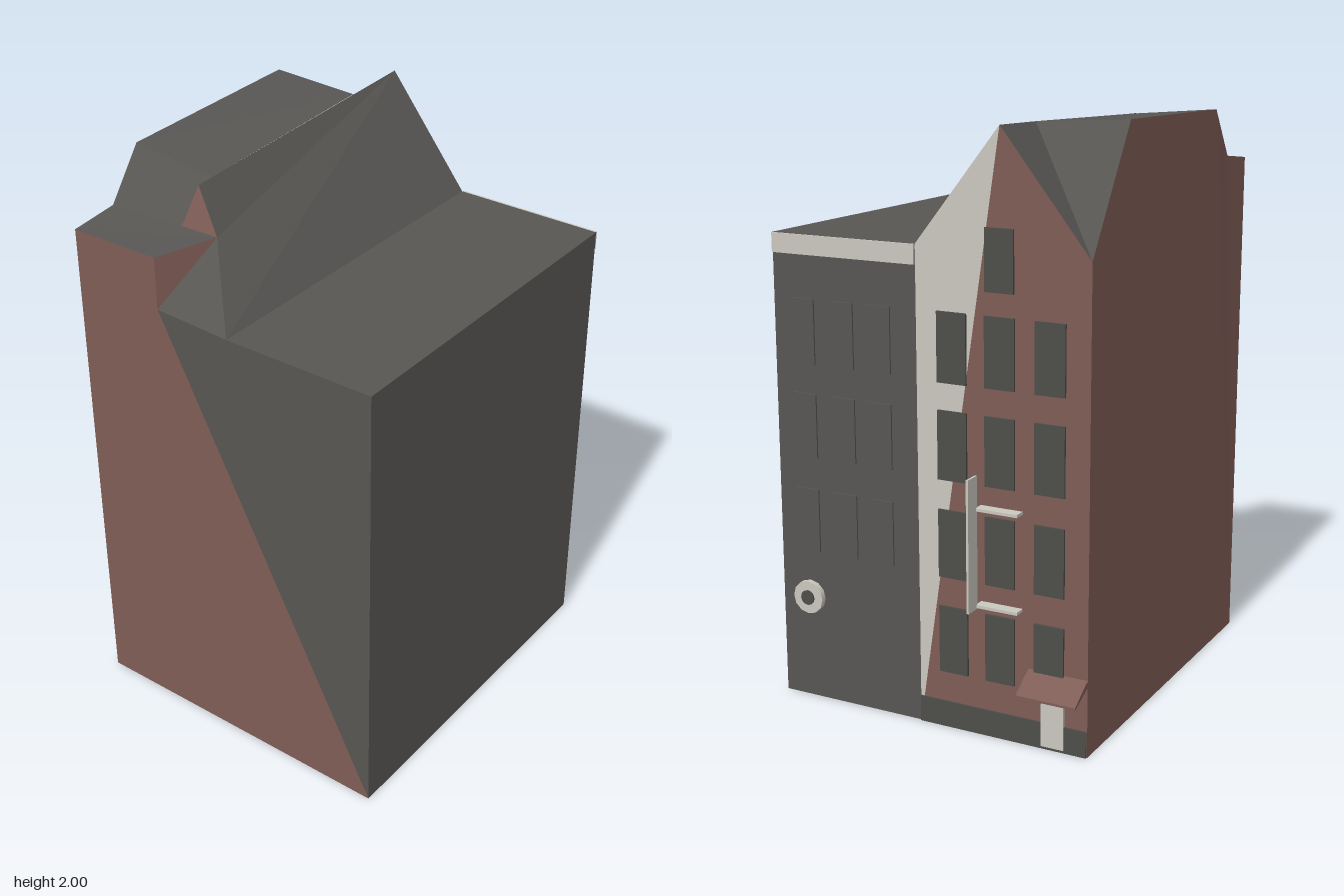
import * as THREE from 'three';

const mat = (name, color) => Object.assign(new THREE.MeshStandardMaterial({ color }), { name });

export function createModel() {
  const model = new THREE.Group();
  model.name = 'townhouses';
  const grey = mat('slate grey', 0x585653);
  const brick = mat('red brick', 0x805d57);
  const cream = mat('cream stone', 0xcac8be);
  const dark = mat('window grey', 0x4d4d4a);
  const blue = mat('banner blue', 0x2f5490);
  const V = (x, y, z) => new THREE.Vector3(x, y, z);

  // Flat-sided part made of polygons that face away from the building's middle
  const middle = V(0, 0.9, 0);
  function faces(name, material, ...polygons) {
    const pos = [];
    for (const p of polygons) {
      for (let i = 1; i < p.length - 1; i++) {
        const [a, b, c] = [p[0], p[i], p[i + 1]];
        const n = b.clone().sub(a).cross(c.clone().sub(a));
        const out = a.clone().add(b).add(c).divideScalar(3).sub(middle);
        for (const v of n.dot(out) > 0 ? [a, b, c] : [a, c, b]) pos.push(v.x, v.y, v.z);
      }
    }
    const g = new THREE.BufferGeometry();
    g.setAttribute('position', new THREE.Float32BufferAttribute(pos, 3));
    g.computeVertexNormals();
    const m = new THREE.Mesh(g, material);
    m.name = name;
    model.add(m);
  }

  // Corners of the footprint
  const fl = V(-0.64, 0, 0.63), fr = V(0.51, 0, 0.745);
  const br = V(0.64, 0, -0.535), bl = V(-0.51, 0, -0.655);
  const bm = V(0.1, 0, -0.591);
  // Eaves
  const flTop = V(-0.64, 1.79, 0.63), frTop = V(0.51, 1.6, 0.745);
  const brTop = V(0.64, 1.61, -0.535), bmTop = V(0.1, 1.61, -0.591), blTop = V(-0.51, 1.6, -0.655);
  const stepTop = V(-0.31, 1.79, 0.66), stepLow = V(-0.31, 1.61, 0.66);
  const valley = V(-0.03, 1.6, 0.692);
  // Ridge and upper roof
  const peak = V(-0.2, 1.99, -0.623), ridgeEnd = V(-0.29, 1.95, 0.44);
  const hip = V(-0.2, 1.81, 0.48), notch = V(-0.34, 1.81, 0.472), nick = V(-0.29, 1.86, 0.44);
  const upFL = V(-0.61, 1.98, 0.33), upFR = V(-0.285, 1.952, 0.375);
  const upBL = V(-0.54, 2, -0.4), upBR = V(-0.221, 1.982, -0.375);
  const lowL = V(-0.62, 1.81, 0.46);

  faces('brickWalls', brick,
    [fl, fr, stepLow, stepTop, flTop],
    [fl, flTop, lowL, upFL, upBL, blTop, bl],
    [bl, bm, peak, blTop]);
  faces('base', brick, [fl, fr, br, bl]);
  faces('greyWalls', grey, [fr, frTop, valley, stepLow], [fr, br, brTop, frTop], [br, bm, bmTop, brTop]);
  faces('stoneGable', cream, [bm, bmTop, peak]);
  faces('flatRoof', grey, [valley, frTop, brTop, bmTop]);
  faces('pitchedRoof', grey,
    [peak, bmTop, valley, hip, ridgeEnd],
    [upFL, upFR, upBR, upBL],
    [blTop, upBL, upBR], [blTop, upBR, peak],
    [upFL, lowL, notch, nick, upFR],
    [flTop, stepTop, hip, notch, lowL],
    [stepLow, valley, hip]);
  faces('roofGables', brick, [stepTop, stepLow, hip], [ridgeEnd, hip, notch, nick], [upFR, ridgeEnd, nick]);

  // Places a piece against the street facade, its local +z pointing outwards
  const along = br.clone().sub(bl).normalize();
  const normal = V(along.z, 0, -along.x);
  function onFacade(name, geometry, material, x, y, out) {
    const m = new THREE.Mesh(geometry, material);
    m.name = name;
    m.position.copy(bl).addScaledVector(along, (x - bl.x) / along.x).addScaledVector(normal, out);
    m.position.y = y;
    m.rotation.y = Math.atan2(normal.x, normal.z);
    model.add(m);
    return m;
  }
  const box = (w, h, d) => new THREE.BoxGeometry(w, h, d);

  // Windows of the brick house and the grey house
  const rows = [0.31, 0.64, 0.97, 1.29];
  for (const y of rows) {
    for (const x of [-0.03, -0.2, -0.375]) onFacade('window', box(0.105, 0.23, 0.008), dark, x, y, 0.004);
  }
  onFacade('gableWindow', box(0.1, 0.2, 0.008), dark, -0.2, 1.58, 0.004);
  for (const y of rows.slice(1)) {
    for (const x of [0.24, 0.38, 0.53]) onFacade('greyWindow', box(0.09, 0.22, 0.006), grey, x, y, 0.003);
  }

  // Cornice and plinth
  onFacade('cornice', box(0.54, 0.065, 0.008), cream, 0.37, 1.577, 0.004);
  onFacade('plinth', box(0.61, 0.09, 0.006), dark, -0.205, 0.045, 0.003);

  // Door with awning
  onFacade('door', box(0.08, 0.19, 0.009), cream, -0.39, 0.105, 0.0055);
  const wedge = new THREE.Shape([[0, 0.065], [0, 0.04], [-0.09, 0], [-0.09, 0.008]].map(([a, b]) => new THREE.Vector2(a, b)));
  const awning = new THREE.ExtrudeGeometry(wedge, { depth: 0.21, bevelEnabled: false });
  awning.rotateY(Math.PI / 2).translate(-0.105, 0, 0);
  onFacade('awning', awning, brick, -0.405, 0.2, 0);

  // Hanging banner on two brackets
  for (const y of [0.46, 0.785]) onFacade('bracket', box(0.15, 0.01, 0.04), cream, -0.205, y, 0.02);
  onFacade('banner', box(0.008, 0.445, 0.058), cream, -0.13, 0.673, 0.061);
  const flag = new THREE.BufferGeometry();
  flag.setAttribute('position', new THREE.Float32BufferAttribute(
    [0, 0.2225, -0.029, 0, -0.2225, -0.029, 0, 0.2225, 0.029], 3));
  flag.computeVertexNormals();
  blue.side = THREE.DoubleSide;
  onFacade('bannerStripe', flag, blue, -0.125, 0.673, 0.0605);

  // Round sign on the grey house
  const disc = (r, d) => new THREE.CylinderGeometry(r, r, d, 12).rotateX(Math.PI / 2);
  onFacade('roundSign', disc(0.058, 0.02), cream, 0.53, 0.365, 0.01);
  onFacade('signCentre', disc(0.026, 0.006), dark, 0.53, 0.365, 0.022);

  return model;
}
